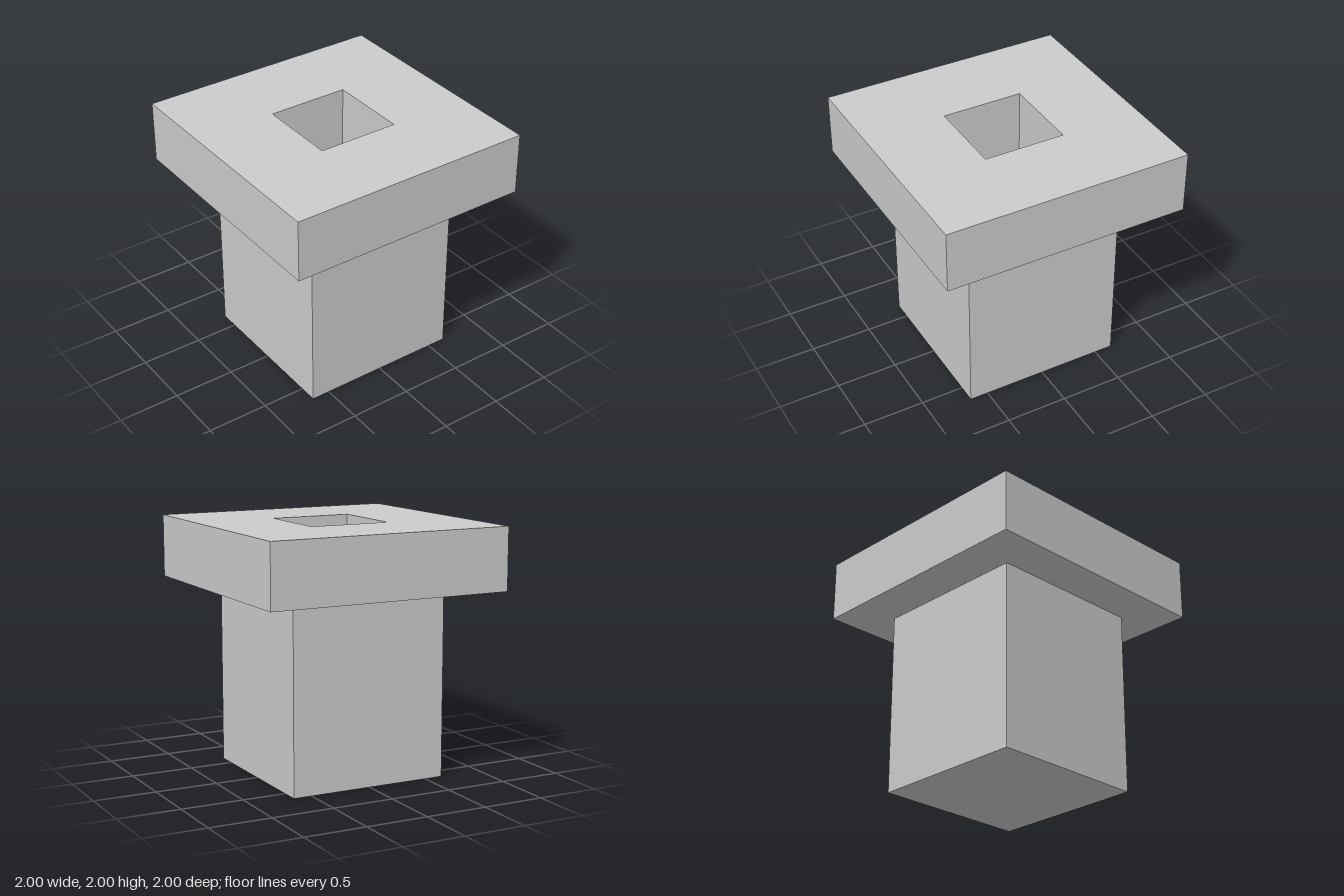
import * as THREE from 'three';

// Half-widths and heights of the square plug
const FLANGE = 1, STEM = 0.65, SOCKET = 0.33;
const TOP = 2, FLANGE_BASE = 1.5, SOCKET_FLOOR = 1.0;

// Square-sided solid turned from a [halfWidth, y] profile in four segments
function squareLathe(profile) {
  const points = profile.map(([half, y]) => new THREE.Vector2(half * Math.SQRT2, y));
  const geometry = new THREE.LatheGeometry(points, 4, Math.PI / 4).toNonIndexed();
  geometry.computeVertexNormals();
  return geometry;
}

export function createModel() {
  const group = new THREE.Group();
  group.name = 'flangedSquareSocket';
  const material = new THREE.MeshStandardMaterial({ color: 0xcccccc, flatShading: true });

  const add = (name, profile) => {
    const mesh = new THREE.Mesh(squareLathe(profile), material);
    mesh.name = name;
    group.add(mesh);
  };

  // Square post with a closed bottom
  add('stem', [[0, 0], [STEM, 0], [STEM, FLANGE_BASE]]);

  // Wide square plate: underside, rim and top around the opening
  add('flange', [[STEM, FLANGE_BASE], [FLANGE, FLANGE_BASE], [FLANGE, TOP], [SOCKET, TOP]]);

  // Blind square hole: inner walls and floor
  add('socket', [[SOCKET, TOP], [SOCKET, SOCKET_FLOOR], [0, SOCKET_FLOOR]]);

  return group;
}
